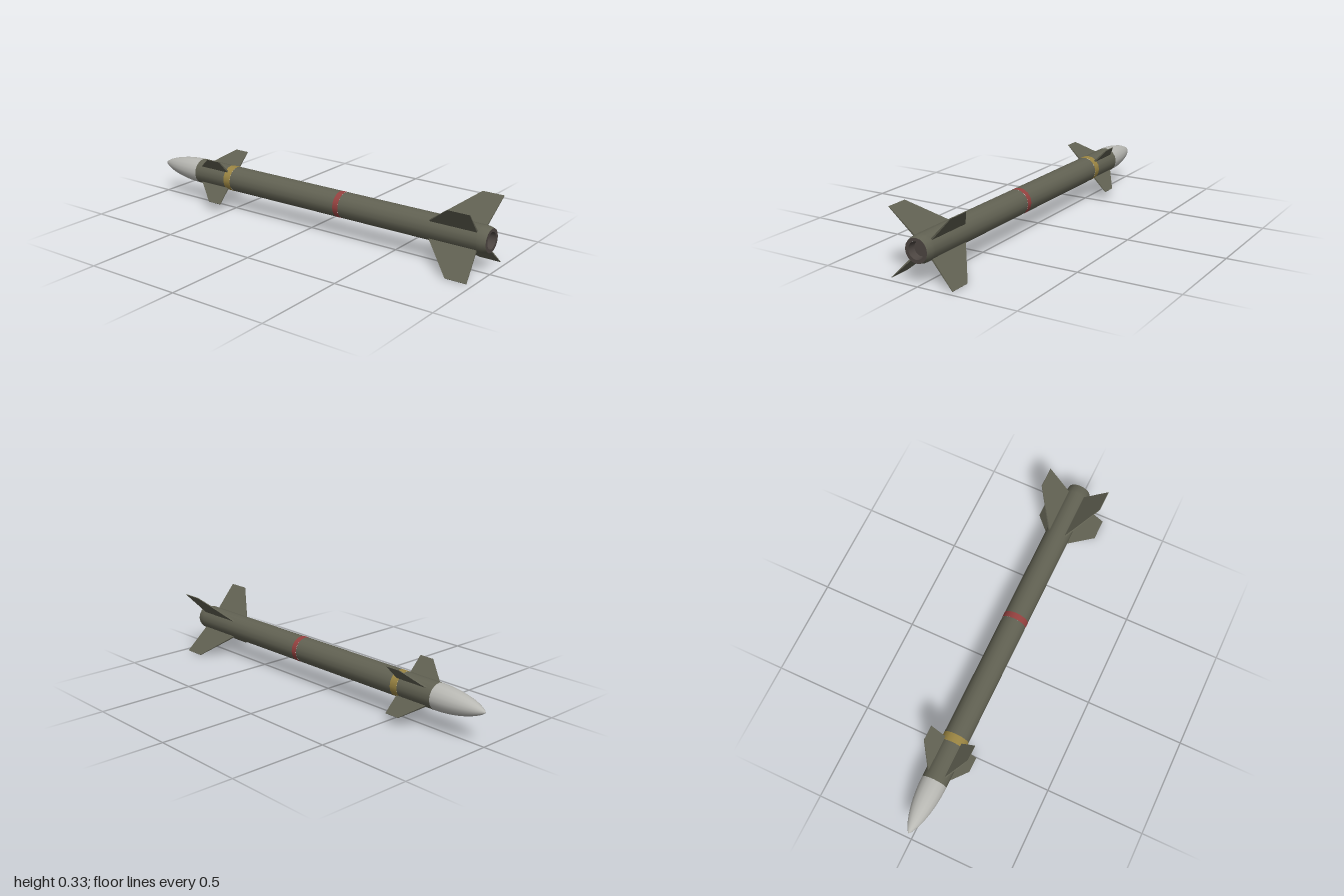
import * as THREE from 'three';

const AXIS_Y = 0.163, R = 0.065;

const mat = (name, color) => {
  const m = new THREE.MeshStandardMaterial({ color });
  m.name = name;
  return m;
};

// Surface of revolution along z; profile is a list of [radius, z]
function turned(name, profile, material, sides = 16) {
  const pts = profile.map(([r, z]) => new THREE.Vector2(r, z));
  const mesh = new THREE.Mesh(new THREE.LatheGeometry(pts, sides).rotateX(Math.PI / 2), material);
  mesh.name = name;
  return mesh;
}

// Swept fin that thins from root to tip; x is the distance from the axis
function finGeometry({ rootR, tipR, root, tip, rootT, tipT }) {
  const g = new THREE.BoxGeometry(1, 1, 1);
  const p = g.attributes.position;
  for (let i = 0; i < p.count; i++) {
    const outer = p.getX(i) > 0;
    const [lead, trail] = outer ? tip : root;
    p.setXYZ(i,
      outer ? tipR : rootR,
      p.getY(i) * (outer ? tipT : rootT),
      p.getZ(i) > 0 ? trail : lead);
  }
  g.computeVertexNormals();
  return g;
}

export function createModel() {
  const olive = mat('olive paint', 0x626253);
  const pale = mat('pale nose', 0xb9b9b4);
  const yellow = mat('yellow band', 0x9c8643);
  const red = mat('red band', 0x964240);
  const dark = mat('dark nozzle', 0x4c4541);

  const model = new THREE.Group();
  model.name = 'finnedRocket';
  const body = new THREE.Group();
  body.name = 'body';
  body.position.y = AXIS_Y;
  model.add(body);

  // Rounded ogive nose
  const nose = [];
  for (let i = 0; i <= 14; i++) {
    const t = Math.cos((i / 14) * Math.PI / 2);
    nose.push([R * Math.pow(Math.max(0, 1 - t * t), 0.72), -0.73 - 0.27 * t]);
  }
  body.add(turned('nose', nose, pale));

  // Tube sections with painted bands between them
  body.add(turned('frontTube', [[R, -0.73], [R, -0.53]], olive));
  body.add(turned('yellowBand', [[R + 0.0005, -0.53], [R + 0.0005, -0.487]], yellow));
  body.add(turned('middleTube', [[R, -0.487], [R, 0.172]], olive));
  body.add(turned('redBand', [[R + 0.0005, 0.172], [R + 0.0005, 0.203]], red));
  body.add(turned('rearTube', [[R, 0.203], [R, 0.955]], olive));
  body.add(turned('tailTaper', [[R, 0.955], [0.064, 0.975], [0.058, 1]], olive));

  // Recessed exhaust nozzle
  body.add(turned('nozzleRim', [[0.058, 1], [0.041, 1]], dark));
  body.add(turned('nozzleWall', [[0.041, 1], [0.035, 0.965]], dark, 24));
  body.add(turned('nozzleFloor', [[0.035, 0.965], [0, 0.965]], dark, 24));

  // Four diagonal fins at each station
  const stations = {
    tailFin: finGeometry({ rootR: 0.06, tipR: 0.229, root: [0.70, 0.95], tip: [0.86, 0.97], rootT: 0.009, tipT: 0.003 }),
    frontFin: finGeometry({ rootR: 0.06, tipR: 0.163, root: [-0.70, -0.515], tip: [-0.59, -0.512], rootT: 0.009, tipT: 0.003 }),
  };
  for (const [name, geometry] of Object.entries(stations)) {
    for (let i = 0; i < 4; i++) {
      const fin = new THREE.Mesh(geometry, olive);
      fin.name = name + (i + 1);
      fin.rotation.z = Math.PI / 4 + i * Math.PI / 2;
      body.add(fin);
    }
  }
  return model;
}
